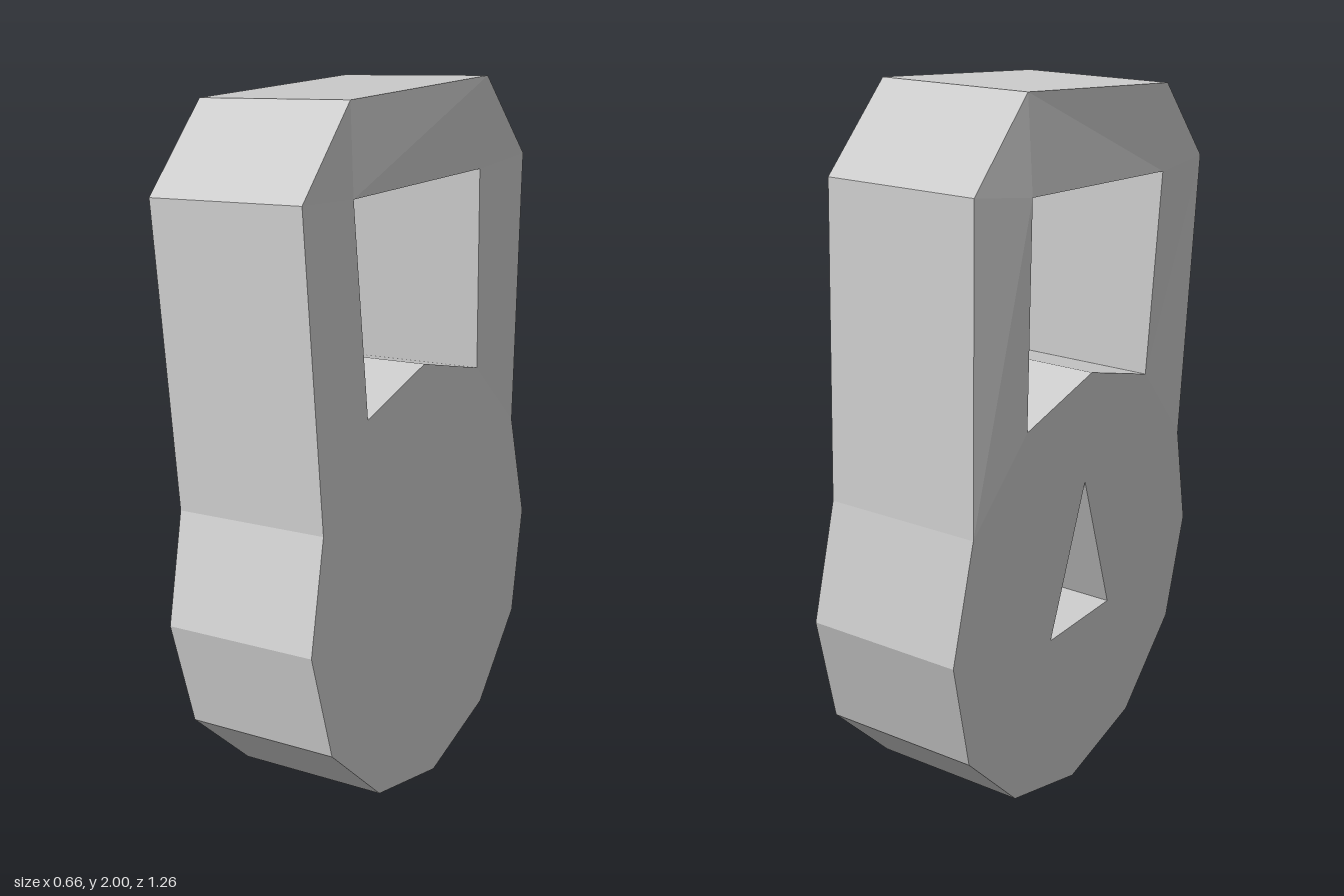
import * as THREE from 'three';

// Thickness direction of the slab, from the -x face to the +x face
const D = new THREE.Vector3(0.435, 0.035, 0.05);

// Point on the +x face: lies on a tilted plane, with an optional bulge in x
const pt = ([z, y, bulge = 0]) => new THREE.Vector3(0.302 - 0.081 * y - 0.116 * z + bulge, y, z);

// Silhouette, shackle opening and keyhole as [z, y, bulge], counter-clockwise seen from +x
const outline = [
  [0.28, 2, 0.014], [0.52, 1.8, 0.014], [0.53, 0.98], [0.63, 0.69], [0.58, 0.38], [0.37, 0.14],
  [0.07, 0.04], [-0.24, 0.1], [-0.48, 0.3], [-0.58, 0.6], [-0.53, 0.92], [-0.49, 1.74, 0.083], [-0.29, 1.98, 0.084],
].map(pt);
const opening = [[0.285, 1.765, 0.006], [0.285, 1.2], [-0.02, 1.255], [-0.32, 1.15], [-0.295, 1.73, 0.048]].map(pt);
const keyhole = [[-0.006, 0.95], [0.184, 0.548], [-0.119, 0.524]].map(pt);
const KEY_DEPTH = 0.6;

function buildMesh(name, tris) {
  const geometry = new THREE.BufferGeometry().setFromPoints(tris);
  geometry.computeVertexNormals();
  const mesh = new THREE.Mesh(geometry, new THREE.MeshStandardMaterial({ color: 0xcccccc, flatShading: true }));
  mesh.name = name;
  return mesh;
}

// Flat patch at depth t (1 = +x face, 0 = -x face), facing +x or -x
function addPatch(tris, loop, t, facing, holes = []) {
  const flat = (l) => l.map((p) => new THREE.Vector2(-p.z, p.y));
  const all = [...loop, ...holes.flat()];
  const uv = flat(all);
  for (const [a, b, c] of THREE.ShapeUtils.triangulateShape(flat(loop), holes.map(flat))) {
    const ccw = THREE.ShapeUtils.area([uv[a], uv[b], uv[c]]) > 0;
    const order = ccw === (facing > 0) ? [a, b, c] : [a, c, b];
    tris.push(...order.map((i) => all[i].clone().addScaledVector(D, t - 1)));
  }
}

// Side walls around a loop between depths t0 and t1; inward for openings
function addWalls(tris, loop, t0, t1, inward = false) {
  const ring = inward ? [...loop].reverse() : loop;
  ring.forEach((a, i) => {
    const b = ring[(i + 1) % ring.length];
    const at = (p, t) => p.clone().addScaledVector(D, t - 1);
    tris.push(at(a, t0), at(b, t0), at(b, t1), at(a, t0), at(b, t1), at(a, t1));
  });
}

export function createModel() {
  const group = new THREE.Group();
  group.name = 'padlock';
  const P = outline, H = opening;

  // Lock body faces and twisted shackle faces
  const body = [...P.slice(2, 11), H[3], H[2], H[1]];
  const shackle = [
    [P[0], P[1], P[2], H[1], H[0]],
    [H[4], H[3], P[10], P[11]],
    [H[4], P[11], P[12]],
    [H[0], H[4], P[12]],
    [P[0], H[0], P[12]],
  ];

  const faces = [];
  addPatch(faces, body, 1, 1);
  addPatch(faces, body, 0, -1, [keyhole]);
  for (const patch of shackle) {
    addPatch(faces, patch, 1, 1);
    addPatch(faces, patch, 0, -1);
  }
  group.add(buildMesh('bodyAndShackleFaces', faces));

  // Outer rim
  const rim = [];
  addWalls(rim, P, 0, 1);
  group.add(buildMesh('outerRim', rim));

  // Inside of the shackle opening
  const inner = [];
  addWalls(inner, H, 0, 1, true);
  group.add(buildMesh('shackleOpening', inner));

  // Blind triangular keyhole
  const key = [];
  addWalls(key, keyhole, 0, KEY_DEPTH, true);
  addPatch(key, keyhole, KEY_DEPTH, -1);
  group.add(buildMesh('keyhole', key));

  return group;
}
